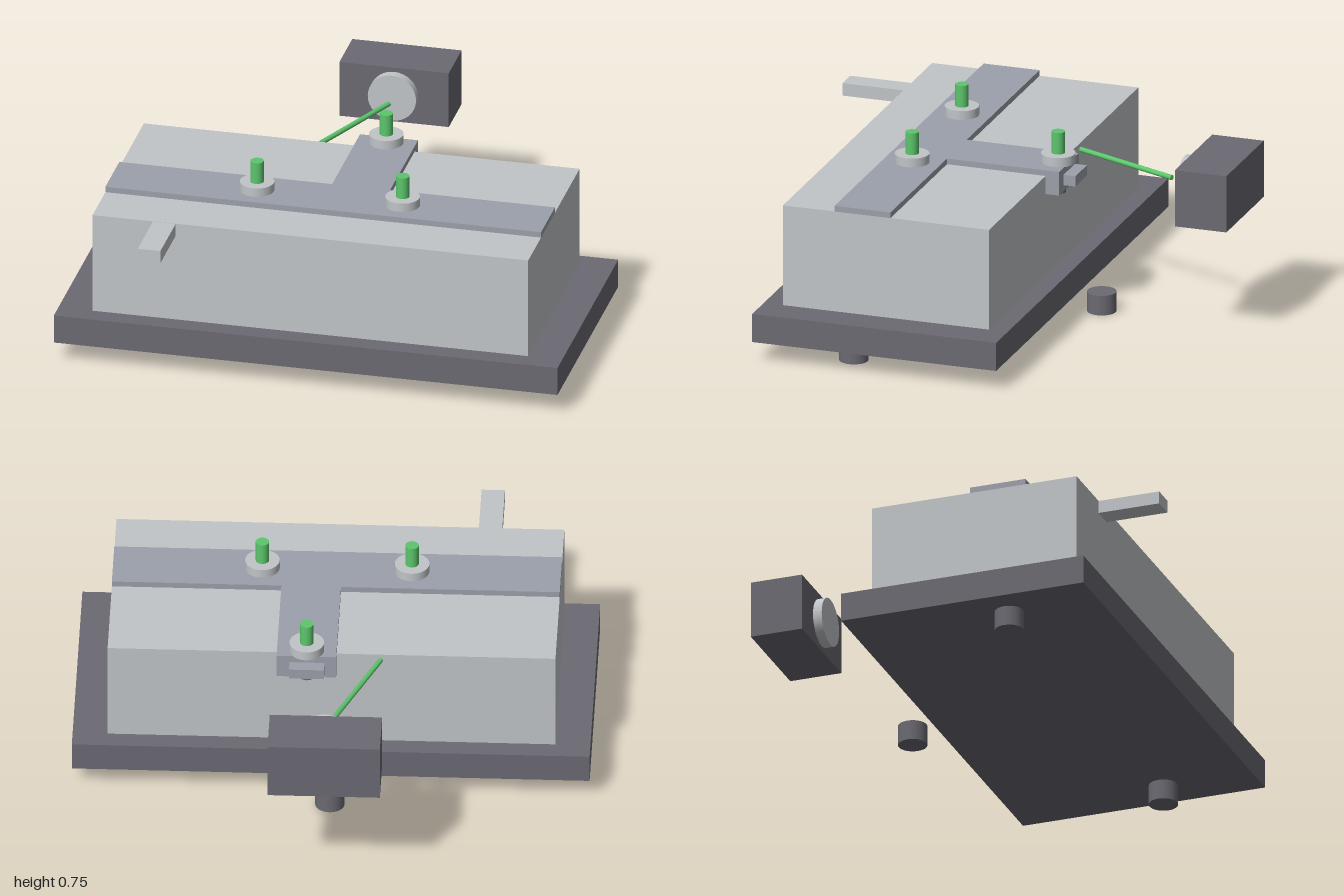
import * as THREE from 'three';

const paint = (name, color) => {
  const m = new THREE.MeshStandardMaterial({ color });
  m.name = name;
  return m;
};

export function createModel() {
  const model = new THREE.Group();
  model.name = 'clampedBlockRig';
  const dark = paint('darkGrey', 0x6b6a73);
  const light = paint('lightGrey', 0xc1c5c8);
  const steel = paint('blueGrey', 0x9ca0ab);
  const green = paint('green', 0x5cc66c);

  const add = (name, geometry, material) => {
    const mesh = new THREE.Mesh(geometry, material);
    mesh.name = name;
    model.add(mesh);
    return mesh;
  };
  // Box given by its limits on each axis
  const box = (name, mat, [x0, x1], [y0, y1], [z0, z1]) =>
    add(name, new THREE.BoxGeometry(x1 - x0, y1 - y0, z1 - z0), mat)
      .position.set((x0 + x1) / 2, (y0 + y1) / 2, (z0 + z1) / 2);
  // Round bar between two points
  const rod = (name, mat, r, from, to) => {
    const a = new THREE.Vector3(...from), b = new THREE.Vector3(...to);
    const mesh = add(name, new THREE.CylinderGeometry(r, r, a.distanceTo(b), 32), mat);
    mesh.position.copy(a).lerp(b, 0.5);
    mesh.quaternion.setFromUnitVectors(new THREE.Vector3(0, 1, 0), b.sub(a).normalize());
  };

  // Base slab, block and side handle
  box('base', dark, [-1, 1], [0.08, 0.195], [-0.253, 0.745]);
  box('block', light, [-0.865, 0.865], [0.195, 0.604], [-0.177, 0.667]);
  box('handle', light, [-0.625, -0.535], [0.552, 0.603], [0.66, 0.917]);

  // Three feet, the rear one standing clear of the base
  for (const [x, z] of [[-0.847, 0.383], [0.847, 0.383], [0, -0.333]])
    rod('foot', dark, 0.057, [x, 0, z], [x, 0.08, z]);

  // T-shaped plate with a thick rear end and a catch
  const tee = new THREE.Shape([
    [-0.865, -0.456], [0.865, -0.456], [0.865, -0.227], [0.21, -0.227],
    [0.21, 0.232], [-0.02, 0.232], [-0.02, -0.227], [-0.865, -0.227],
  ].map(([x, y]) => new THREE.Vector2(x, y)));
  const teeGeometry = new THREE.ExtrudeGeometry(tee, { depth: 0.023, bevelEnabled: false });
  teeGeometry.rotateX(-Math.PI / 2).translate(0, 0.604, 0);
  add('teePlate', teeGeometry, steel);
  box('plateEnd', steel, [-0.02, 0.21], [0.53, 0.604], [-0.232, -0.17]);
  box('catch', steel, [0.025, 0.16], [0.556, 0.598], [-0.281, -0.23]);
  rod('lowerNut', dark, 0.03, [0.095, 0.503, -0.188], [0.095, 0.532, -0.188]);

  // Collars and studs
  for (const [x, z] of [[-0.29, 0.342], [0.288, 0.342], [0.095, -0.188]]) {
    rod('collar', light, 0.067, [x, 0.625, z], [x, 0.663, z]);
    rod('stud', green, 0.026, [x, 0.66, z], [x, 0.751, z]);
  }

  // Rear sensor box, its round face and the slanted rod
  box('sensorBox', dark, [-0.217, 0.217], [0.463, 0.693], [-0.919, -0.708]);
  rod('sensorFace', light, 0.096, [0, 0.579, -0.71], [0, 0.579, -0.672]);
  rod('slantedRod', green, 0.01, [0, 0.579, -0.62], [-0.19, 0.579, -0.178]);

  return model;
}
